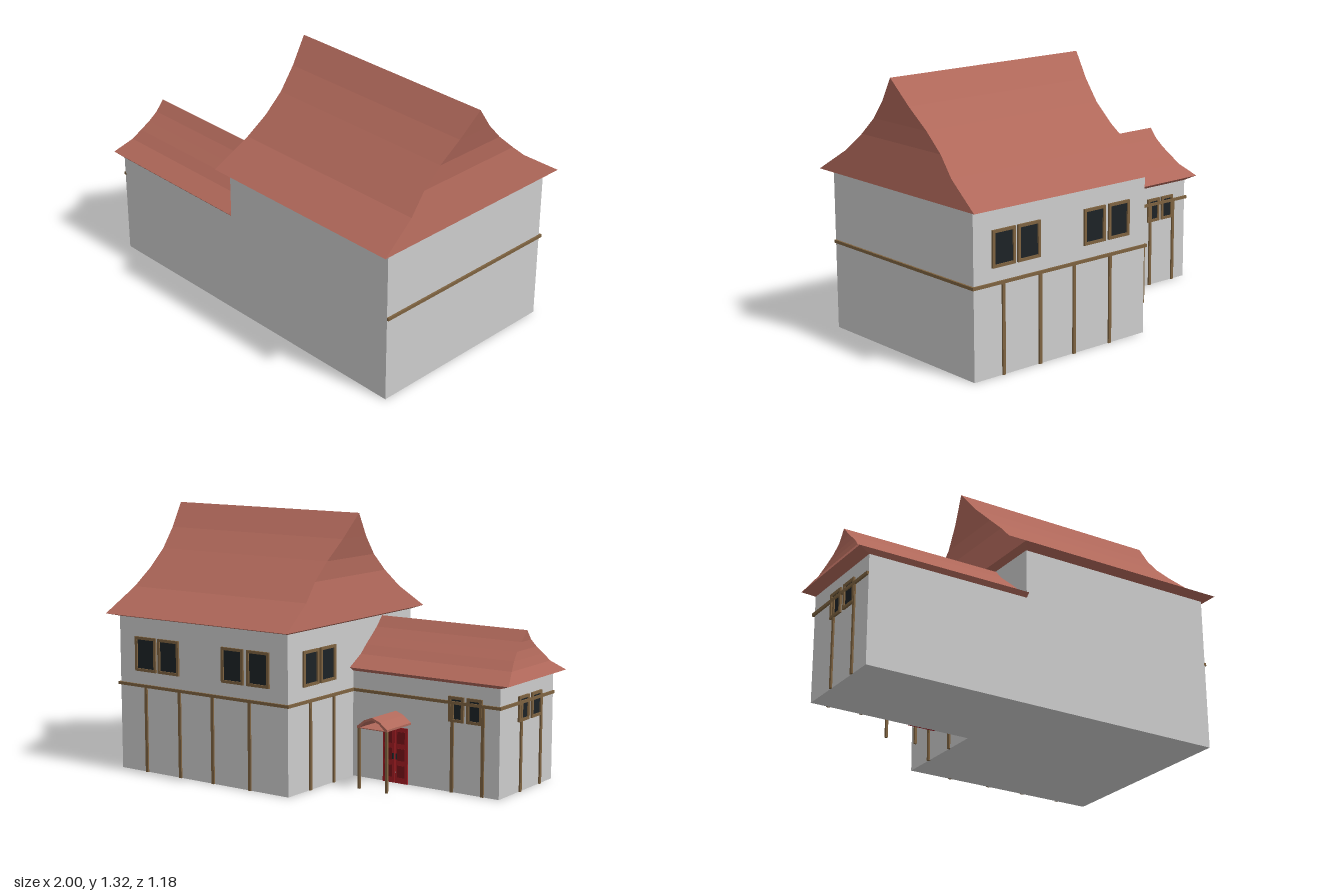
import * as THREE from 'three';

const mat = (color, extra = {}) => new THREE.MeshStandardMaterial({ color, ...extra });

export function createModel() {
  const model = new THREE.Group();
  const plaster = mat(0xcccccc);
  const tile = mat(0xb0685a, { flatShading: true, side: THREE.DoubleSide });
  const wood = mat(0x7d6240);
  const glass = mat(0x1c2226);
  const red = mat(0xa01c22);
  const darkRed = mat(0x761318);

  // Box given by its minimum and maximum corners
  function box(parent, name, [x0, y0, z0], [x1, y1, z1], material) {
    const mesh = new THREE.Mesh(new THREE.BoxGeometry(x1 - x0, y1 - y0, z1 - z0), material);
    mesh.position.set((x0 + x1) / 2, (y0 + y1) / 2, (z0 + z1) / 2);
    mesh.name = name;
    parent.add(mesh);
    return mesh;
  }

  // Roof from stacked rectangles: rows of [y, x0, x1, z0, z1], bottom to top
  function roof(name, rows) {
    const pos = [], index = [];
    for (const [y, x0, x1, z0, z1] of rows) pos.push(x0, y, z1, x1, y, z1, x1, y, z0, x0, y, z0);
    for (let r = 0; r < rows.length - 1; r++) {
      for (let i = 0; i < 4; i++) {
        const a = r * 4 + i, b = r * 4 + (i + 1) % 4;
        index.push(a, b, b + 4, a, b + 4, a + 4);
      }
    }
    index.push(0, 2, 1, 0, 3, 2);
    const geo = new THREE.BufferGeometry();
    geo.setAttribute('position', new THREE.Float32BufferAttribute(pos, 3));
    geo.setIndex(index);
    const flat = geo.toNonIndexed();
    flat.computeVertexNormals();
    const mesh = new THREE.Mesh(flat, tile);
    mesh.name = name;
    model.add(mesh);
  }

  // Walls
  box(model, 'mainWalls', [-0.1, 0, -0.53], [0.96, 0.788, 0.53], plaster);
  box(model, 'wingWalls', [-0.94, 0, 0.01], [-0.1, 0.54, 0.53], plaster);

  // Main roof: [y, half depth, inset of both ends]
  const mainRows = [[0.8, 0.59, 0], [0.92, 0.4, 0.027], [1.01, 0.3, 0.048], [1.1, 0.2, 0.048],
    [1.2, 0.1, 0.027], [1.322, 0, 0]].map(([y, d, e]) => [y, -0.14 + e, 1 - e, -d, d]);
  roof('mainRoof', [[0.785, -0.1, 0.96, -0.53, 0.53], ...mainRows]);

  // Wing roof, ending against the main wall
  const wingRows = [[0.555, 0.285, 0], [0.61, 0.19, 0.038], [0.652, 0.143, 0.053], [0.69, 0.096, 0.064],
    [0.73, 0.048, 0.068], [0.782, 0, 0.064]].map(([y, d, e]) => [y, -1 + e, -0.1, 0.265 - d, 0.265 + d]);
  roof('wingRoof', [[0.535, -0.94, -0.1, 0.01, 0.53], ...wingRows]);

  // A wall's timber group: local x runs along the wall, local z points outwards
  function facade(name, x, z, turn) {
    const group = new THREE.Group();
    group.name = name;
    group.position.set(x, 0, z);
    group.rotation.y = turn;
    model.add(group);
    return group;
  }

  const belt = (g, a, b) => box(g, 'beltBeam', [a, 0.434, -0.005], [b, 0.449, 0.01], wood);

  function posts(g, list) {
    for (const u of list) box(g, 'wallPost', [u - 0.008, 0, -0.005], [u + 0.008, 0.436, 0.008], wood);
  }

  // Framed window
  function windowAt(g, u, y, w, h) {
    const win = new THREE.Group();
    win.name = 'window';
    win.position.set(u, y, 0);
    g.add(win);
    const t = 0.014, a = w / 2, b = h / 2;
    box(win, 'glass', [-a + t, -b + t, -0.004], [a - t, b - t, 0.003], glass);
    for (const s of [-1, 1]) {
      const jx = s * (a - t / 2), ry = s * (b - t / 2);
      box(win, 'windowJamb', [jx - t / 2, -b, -0.004], [jx + t / 2, b, 0.01], wood);
      box(win, 'windowRail', [-a + t, ry - t / 2, -0.004], [a - t, ry + t / 2, 0.01], wood);
    }
  }

  // Main back wall (local x = -world x)
  const back = facade('mainBackTimber', 0, -0.53, Math.PI);
  belt(back, -0.97, 0.11);
  posts(back, [-0.79, -0.57, -0.36, -0.13]);
  for (const u of [-0.787, -0.638, -0.232, -0.075]) windowAt(back, u, 0.603, 0.135, 0.175);

  // Main wall above the yard (local x = world z)
  const yard = facade('mainYardTimber', -0.1, 0, -Math.PI / 2);
  belt(yard, -0.53, 0.01);
  posts(yard, [-0.355, -0.16]);
  for (const u of [-0.352, -0.212]) windowAt(yard, u, 0.603, 0.125, 0.175);

  // Main outer end (local x = -world z)
  belt(facade('mainEndTimber', 0.96, 0, Math.PI / 2), -0.53, 0.53);

  // Wing back wall
  const wingBack = facade('wingBackTimber', 0, 0.01, Math.PI);
  belt(wingBack, 0.1, 0.95);
  posts(wingBack, [0.68, 0.85]);
  for (const u of [0.702, 0.803]) windowAt(wingBack, u, 0.41, 0.085, 0.125);

  // Wing end wall
  const wingEnd = facade('wingEndTimber', -0.94, 0, -Math.PI / 2);
  belt(wingEnd, 0.01, 0.53);
  posts(wingEnd, [0.21, 0.405]);
  for (const u of [0.23, 0.355]) windowAt(wingEnd, u, 0.41, 0.1, 0.125);

  // Double door with panels and handles
  const door = facade('door', -0.355, 0.01, Math.PI);
  for (const s of [-1, 1]) {
    const c = s * 0.037;
    box(door, 'doorLeaf', [c - 0.035, 0, -0.004], [c + 0.035, 0.28, 0.006], red);
    for (const y of [0.03, 0.115, 0.2]) {
      box(door, 'doorPanel', [c - 0.022, y, 0], [c + 0.022, y + 0.06, 0.01], darkRed);
    }
    box(door, 'doorHandle', [s * 0.01 - 0.003, 0.12, 0], [s * 0.01 + 0.003, 0.15, 0.014], glass);
  }

  // Porch: bent gable roof on two slim posts
  const gable = new THREE.Shape([[-0.087, 0.302], [0.087, 0.302], [0.087, 0.312], [0.045, 0.345],
    [0, 0.362], [-0.045, 0.345], [-0.087, 0.312]].map(([x, y]) => new THREE.Vector2(x, y)));
  const hollow = new THREE.Path([[-0.072, 0.306], [-0.04, 0.335], [0, 0.35], [0.04, 0.335], [0.072, 0.306]]
    .map(([x, y]) => new THREE.Vector2(x, y)));
  gable.holes.push(hollow);
  const porchRoof = new THREE.Mesh(
    new THREE.ExtrudeGeometry(gable, { depth: 0.212, bevelEnabled: false }), tile);
  porchRoof.name = 'porchRoof';
  porchRoof.position.set(-0.355, 0, -0.2);
  model.add(porchRoof);
  for (const s of [-1, 1]) {
    const x = -0.355 + s * 0.08;
    box(model, 'porchPost', [x - 0.006, 0, -0.196], [x + 0.006, 0.305, -0.184], wood);
  }
  return model;
}
